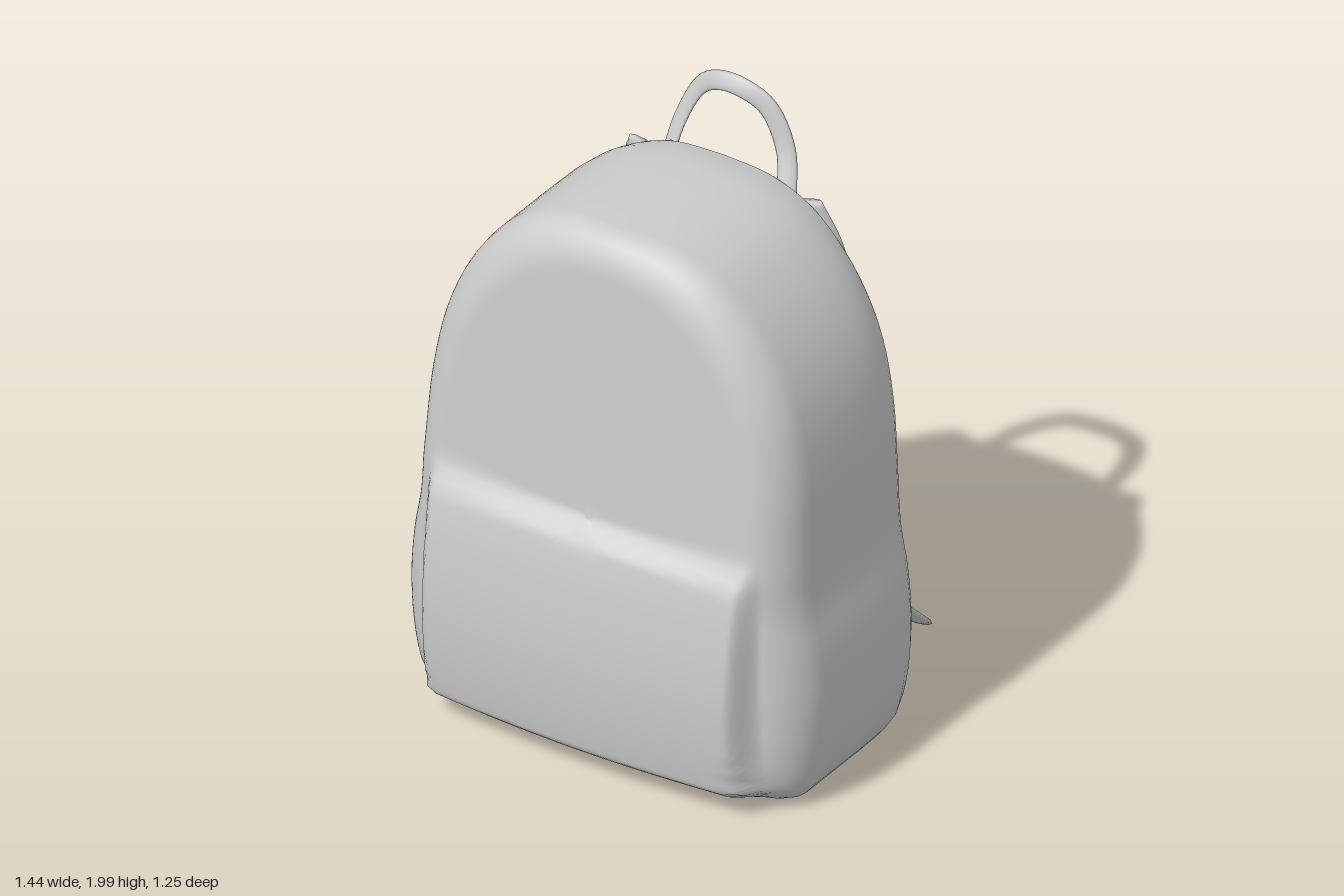
import * as THREE from 'three';

const V = (x, y, z) => new THREE.Vector3(x, y, z);
const material = new THREE.MeshStandardMaterial({ color: 0xcccccc, side: THREE.DoubleSide });
const step = THREE.MathUtils.smoothstep;

// Skin a list of equal-length rows of points; closed rows wrap around
function loft(name, rows, closed) {
  const n = rows[0].length, index = [];
  for (let i = 0; i < rows.length - 1; i++) {
    for (let j = 0; j < (closed ? n : n - 1); j++) {
      const k = (j + 1) % n;
      const a = i * n + j, b = i * n + k, c = a + n, d = b + n;
      index.push(a, b, c, b, d, c);
    }
  }
  const geo = new THREE.BufferGeometry().setFromPoints(rows.flat());
  geo.setIndex(index);
  geo.computeVertexNormals();
  const mesh = new THREE.Mesh(geo, material);
  mesh.name = name;
  return mesh;
}

// Flat webbing with rounded edges swept along a curve; across(tangent) gives the width direction
function ribbon(name, points, width, thickness, across, segments = 32) {
  const curve = new THREE.CatmullRomCurve3(points);
  const rows = [];
  for (let i = 0; i <= segments; i++) {
    const p = curve.getPoint(i / segments), t = curve.getTangent(i / segments);
    const w = across(t);
    w.addScaledVector(t, -w.dot(t)).normalize();
    const n = t.clone().cross(w);
    const ring = [];
    for (let j = 0; j < 10; j++) {
      const a = (j / 10) * Math.PI * 2;
      ring.push(p.clone()
        .addScaledVector(w, Math.cos(a) * width / 2)
        .addScaledVector(n, Math.sin(a) * thickness / 2));
    }
    if (i === 0) rows.push(ring.map(() => p.clone()));
    rows.push(ring);
    if (i === segments) rows.push(ring.map(() => p.clone()));
  }
  return loft(name, rows, true);
}

// Arched outline of the bag, bulging at the side pockets
function outline() {
  const half = [
    [0, 0.01], [0.3, 0.01], [0.58, 0.012], [0.66, 0.04], [0.7, 0.15], [0.718, 0.35],
    [0.705, 0.53], [0.678, 0.68], [0.665, 0.9], [0.652, 1.1], [0.615, 1.3],
    [0.555, 1.45], [0.46, 1.59], [0.33, 1.705], [0.18, 1.762], [0, 1.775],
  ].map(([x, y]) => V(x, y, 0));
  const right = new THREE.CatmullRomCurve3(half).getSpacedPoints(64);
  const left = right.slice(1, -1).reverse().map((p) => V(-p.x, p.y, 0));
  return [...right, ...left];
}

// Front surface height: rounded edge, leaning top and raised front pocket
function frontZ(x, y, r) {
  const c = 0.09 + 0.1 * Math.abs(x), d = Math.min((1 - r) * 0.75, c);
  const body = 0.535 - 0.08 * Math.max(0, (y - 0.8) / 0.95) - 0.06 * x * x
    - c + Math.sqrt(c * c - (c - d) ** 2);
  const pocket = 0.638 - 0.3 * (y - 0.4) ** 2 - 0.1 * x * x;
  const mask = (1 - step(Math.abs(x), 0.535, 0.59))
    * step(y, 0.03, 0.1) * (1 - step(y, 0.78, 0.87));
  return body + (pocket - body) * mask;
}

// Hollow shell, open at the back, its sides tucked in toward the rim
function makeBody() {
  const edge = outline(), cy = 0.85, rows = [];
  const scaled = (p, rx, ry) => V(p.x * rx, cy + (p.y - cy) * ry, 0);
  const rim = [[0.93, 0.97, -0.18], [0.955, 0.98, -0.15], [0.98, 0.993, -0.1], [0.995, 1, -0.03]];
  for (const [rx, ry, z] of rim) rows.push(edge.map((p) => scaled(p, rx, ry).setZ(z)));
  for (const f of [0.3, 0.6]) {
    rows.push(edge.map((p) => V(p.x, p.y, -0.03 + f * (frontZ(p.x, p.y, 1) + 0.03))));
  }
  const rings = 46;
  for (let i = 0; i <= rings; i++) {
    const r = 1 - Math.pow(i / rings, 1.4);
    rows.push(edge.map((p) => {
      const q = scaled(p, r, r);
      return q.setZ(frontZ(q.x, q.y, r));
    }));
  }
  return loft('bagShell', rows, true);
}

// Shoulder strap, its lower tail and the yoke joining it to the rim
function makeStrap(s, side) {
  const group = new THREE.Group();
  group.name = side + 'ShoulderStrap';
  const P = (x, y, z) => V(x * s, y, z);
  group.add(ribbon('strapWebbing', [
    P(0.28, 1.67, -0.2), P(0.33, 1.54, -0.228), P(0.35, 1.35, -0.262), P(0.345, 0.9, -0.315),
    P(0.345, 0.6, -0.345), P(0.36, 0.4, -0.385), P(0.38, 0.2, -0.47), P(0.395, 0.055, -0.605),
  ], 0.13, 0.03, () => V(1, 0, 0), 40));
  group.add(ribbon('lowerStrapTail', [
    P(0.61, 0.2, -0.165), P(0.57, 0.19, -0.26), P(0.5, 0.17, -0.37), P(0.41, 0.15, -0.48),
  ], 0.14, 0.025, () => V(0.4 * s, 1, 0), 16));
  const rim = [[0.545, 1.38], [0.495, 1.48], [0.425, 1.58], [0.31, 1.68], [0.18, 1.738]]
    .map(([x, y]) => P(x, y, -0.175));
  const inner = [
    P(0.345, 1.36, -0.262), P(0.335, 1.45, -0.247), P(0.305, 1.55, -0.232),
    P(0.25, 1.64, -0.222), P(0.17, 1.7, -0.205),
  ];
  const middle = rim.map((p, i) => p.clone().lerp(inner[i], 0.5));
  const rows = [inner, middle, rim];
  group.add(loft('strapYoke', s > 0 ? rows : rows.reverse(), false));
  return group;
}

export function createModel() {
  const model = new THREE.Group();
  model.name = 'backpack';
  model.add(makeBody());
  model.add(makeStrap(1, 'left'), makeStrap(-1, 'right'));
  // Carry loop at the top
  model.add(ribbon('carryHandle', [
    V(-0.2, 1.68, -0.19), V(-0.185, 1.78, -0.225), V(-0.125, 1.91, -0.245), V(-0.04, 1.968, -0.225),
    V(0.04, 1.968, -0.225), V(0.12, 1.92, -0.24), V(0.185, 1.8, -0.235), V(0.22, 1.68, -0.19),
  ], 0.06, 0.02, (t) => t.clone().cross(V(0, 0, 1)).add(V(0, 0, 0.5))));
  return model;
}
